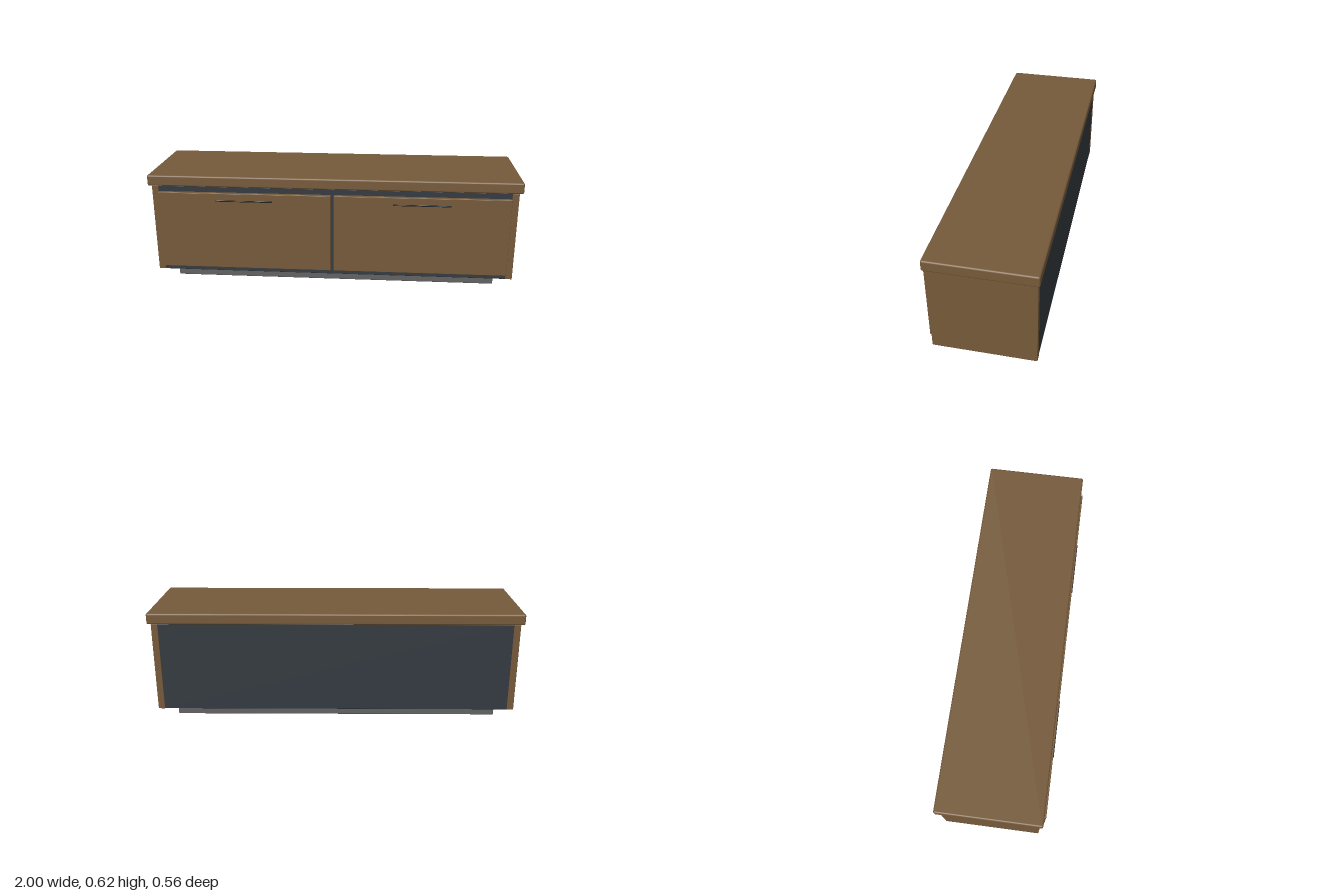
import * as THREE from 'three';
import { RoundedBoxGeometry } from 'three/addons/geometries/RoundedBoxGeometry.js';

function material(name, color) {
  const m = new THREE.MeshStandardMaterial({ color });
  m.name = name;
  return m;
}

export function createModel() {
  const group = new THREE.Group();
  group.name = 'lowCabinet';

  const wood = material('brown wood', 0x765a3a);
  const dark = material('dark slate', 0x333a40);
  const grey = material('plinth grey', 0x636363);
  const black = material('handle black', 0x20242a);

  // Softly bevelled box given by its min and max along each axis
  function block(name, mat, [x0, x1], [y0, y1], [z0, z1], radius) {
    const geo = new RoundedBoxGeometry(x1 - x0, y1 - y0, z1 - z0, 3, radius);
    const mesh = new THREE.Mesh(geo, mat);
    mesh.name = name;
    mesh.position.set((x0 + x1) / 2, (y0 + y1) / 2, (z0 + z1) / 2);
    group.add(mesh);
  }

  // Recessed base, dark carcass and overhanging top
  block('plinth', grey, [-0.89, 0.89], [0, 0.066], [-0.193, 0.181], 0.005);
  block('carcass', dark, [-0.945, 0.945], [0.066, 0.557], [-0.266, 0.253], 0.003);
  block('topBoard', wood, [-1, 1], [0.557, 0.616], [-0.278, 0.266], 0.009);

  // Side panels, drawer fronts and handles, mirrored
  for (const [side, s] of [['left', 1], ['right', -1]]) {
    const span = (a, b) => (s > 0 ? [a, b] : [-b, -a]);
    block(side + 'SidePanel', wood, span(0.944, 0.98), [0.066, 0.556], [-0.268, 0.255], 0.003);
    block(side + 'DrawerFront', wood, span(0.008, 0.943), [0.095, 0.526], [0.252, 0.277], 0.003);
    block(side + 'Handle', black, span(0.322, 0.63), [0.481, 0.488], [0.272, 0.281], 0.002);
  }

  return group;
}
